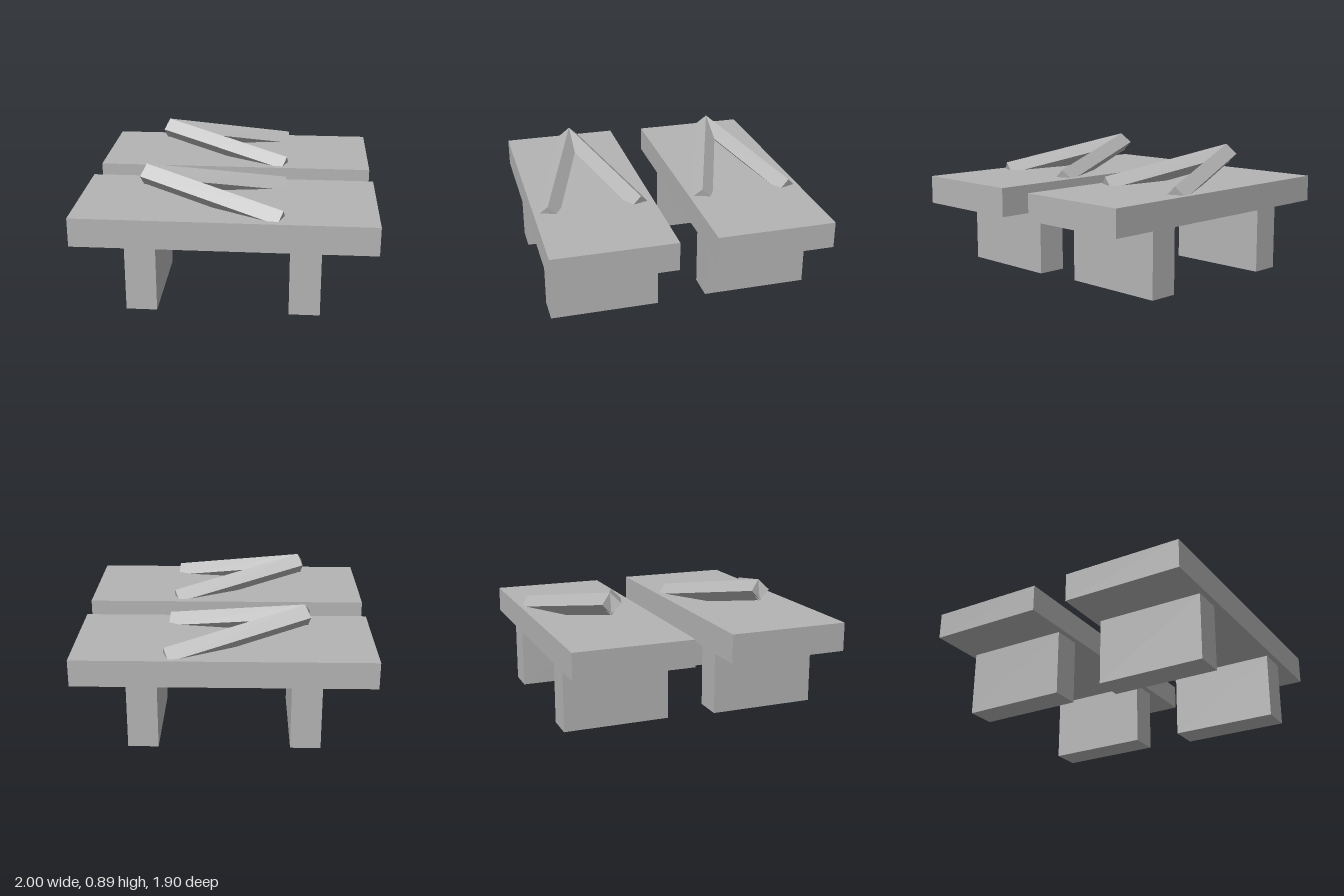
import * as THREE from 'three';

const grey = new THREE.MeshStandardMaterial({ color: 0xb4b4b4 });
grey.name = 'plain grey';

// Box given by its low and high corners
function block(name, x0, x1, y0, y1, z0, z1) {
  const mesh = new THREE.Mesh(new THREE.BoxGeometry(x1 - x0, y1 - y0, z1 - z0), grey);
  mesh.name = name;
  mesh.position.set((x0 + x1) / 2, (y0 + y1) / 2, (z0 + z1) / 2);
  return mesh;
}

// Square bar turned on edge, its ridge running from start to end
function ridgeBar(name, start, end, side, size) {
  const along = end.clone().sub(start);
  const length = along.length();
  along.normalize();
  const outer = new THREE.Vector3(-0.04, -0.074, 0.07 * side);
  outer.addScaledVector(along, -outer.dot(along)).normalize();
  const inner = new THREE.Vector3().crossVectors(along, outer);
  if (inner.y > 0) inner.negate();
  const third = new THREE.Vector3().crossVectors(along, outer);
  const mesh = new THREE.Mesh(new THREE.BoxGeometry(length, size, size), grey);
  mesh.name = name;
  mesh.quaternion.setFromRotationMatrix(new THREE.Matrix4().makeBasis(along, outer, third));
  mesh.position.copy(start).add(end).multiplyScalar(0.5)
    .addScaledVector(outer, size / 2).addScaledVector(inner, size / 2);
  return mesh;
}

function bench(name, s) {
  const group = new THREE.Group();
  group.name = name;
  const [x0, x1, y0, y1, z0, z1] = s.slab;
  group.add(block('slab', x0, x1, y0, y1, z0, z1));
  // Two broad legs
  for (const [a, b] of s.legs) {
    group.add(block('leg', a, b, s.foot, y0, s.legZ[0], s.legZ[1]));
  }
  // Pair of bars leaning together at a raised tip
  for (const side of [-1, 1]) {
    const start = new THREE.Vector3(s.tip[0], s.tip[1], s.tip[2]);
    const end = new THREE.Vector3(s.end[0], s.end[1], s.tip[2] + side * s.end[2]);
    group.add(ridgeBar(side < 0 ? 'backBar' : 'frontBar', start, end, side, 0.103));
  }
  return group;
}

export function createModel() {
  const model = new THREE.Group();
  model.name = 'pairOfBenches';
  model.add(bench('frontBench', {
    slab: [-1, 1, 0.458, 0.655, 0.118, 0.95],
    legs: [[-0.645, -0.44], [0.432, 0.637]],
    foot: 0, legZ: [0.163, 0.91],
    tip: [-0.54, 0.895, 0.535], end: [0.385, 0.71, 0.32],
  }));
  model.add(bench('backBench', {
    slab: [-0.997, 0.99, 0.466, 0.648, -0.95, -0.14],
    legs: [[-0.643, -0.442], [0.428, 0.63]],
    foot: 0.012, legZ: [-0.91, -0.18],
    tip: [-0.535, 0.888, -0.547], end: [0.383, 0.705, 0.32],
  }));
  return model;
}
